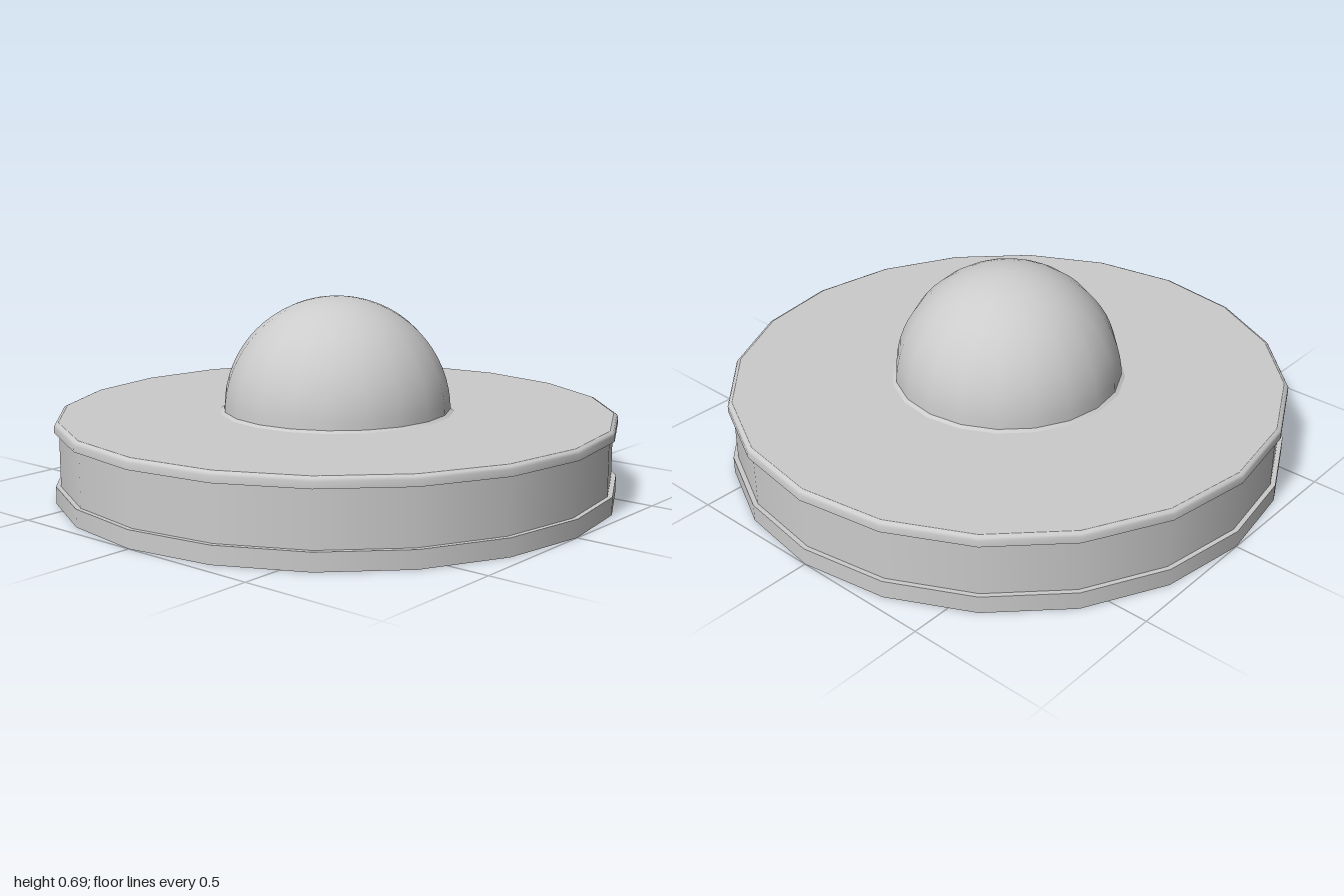
import * as THREE from 'three';

const SIDES = 20;
const material = new THREE.MeshStandardMaterial({ color: 0xcccccc, side: THREE.DoubleSide });

// Turns a [radius, height] profile, listed from the bottom outside to the top inside.
function turned(name, profile) {
  const points = profile.map(([r, y]) => new THREE.Vector2(r, y));
  const mesh = new THREE.Mesh(new THREE.LatheGeometry(points, SIDES), material);
  mesh.name = name;
  return mesh;
}

export function createModel() {
  const group = new THREE.Group();
  group.name = 'domedButton';

  const outer = 1, wall = 0.983, top = 0.288, domeRadius = 0.407;

  // Thin open-bottomed shell; separate bands keep the edges between them sharp
  group.add(
    turned('bottomLip', [[outer, 0], [outer, 0.062]]),
    turned('bottomLedge', [[outer, 0.062], [wall, 0.062]]),
    turned('sideWall', [[wall, 0.062], [wall, 0.252]]),
    turned('topLedge', [[wall, 0.252], [outer, 0.252]]),
    turned('topLip', [[outer, 0.252], [outer, 0.274], [0.995, 0.283], [0.984, top]]),
    turned('topPlate', [[0.984, top], [0.48, top], [0, top]]),
  );

  // Small flare where the dome meets the plate
  group.add(turned('domeFoot', [[0.42, top], [domeRadius, top + 0.008]]));

  // Hemispherical dome
  const arc = [];
  for (let i = 0; i <= 16; i++) {
    const a = (i / 16) * Math.PI / 2;
    arc.push([i === 16 ? 0 : domeRadius * Math.cos(a), top + domeRadius * Math.sin(a)]);
  }
  group.add(turned('dome', arc));

  return group;
}
